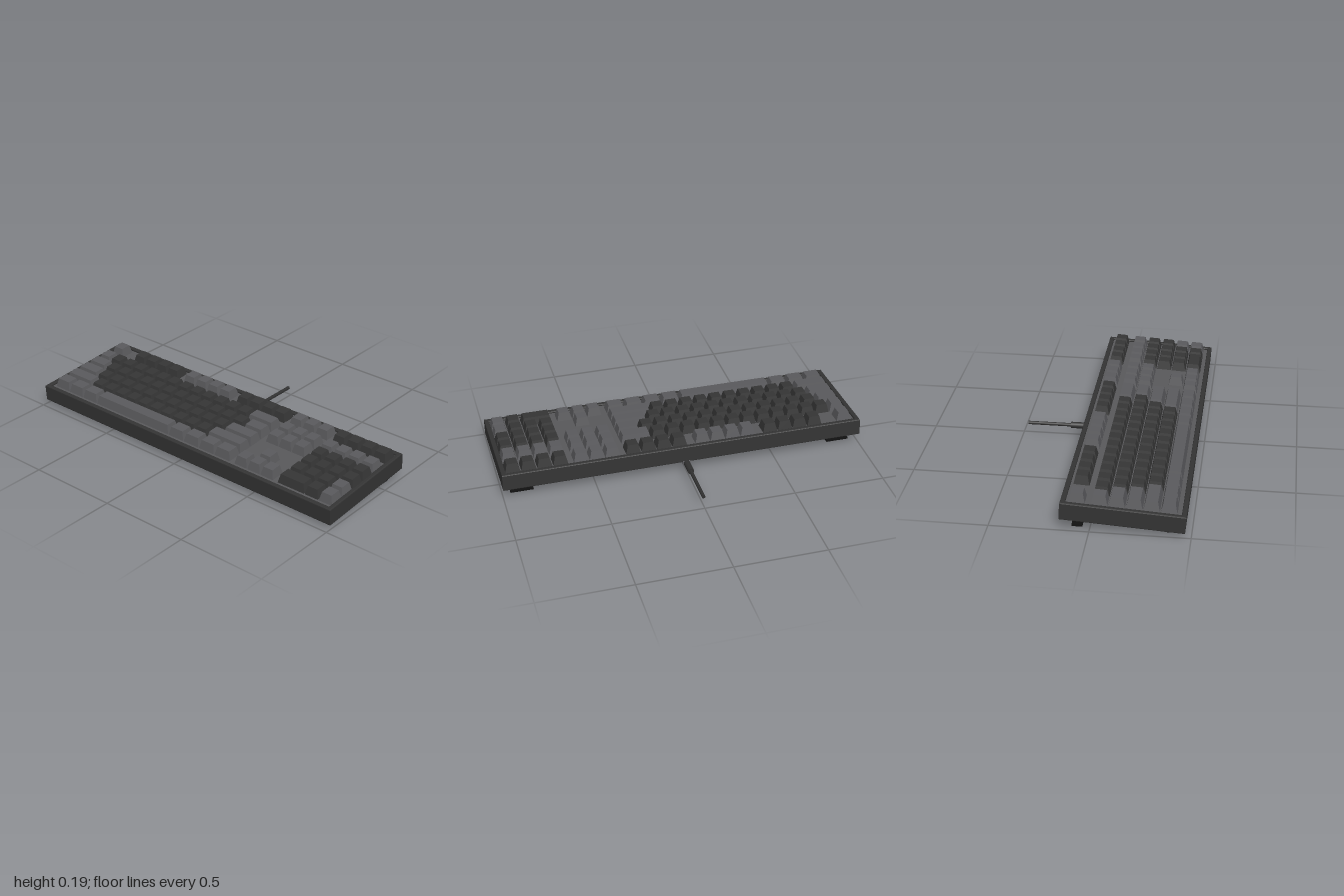
import * as THREE from 'three';

const mat = (name, color) => {
  const m = new THREE.MeshStandardMaterial({ color });
  m.name = name;
  return m;
};

const U = 0.0857;      // one key unit
const LEFT = -0.96;    // left edge of the key field
const PLATE_Y = 0.036; // plate surface, measured from the middle of the case
const ROW_Z = [-0.231, -0.12, -0.034, 0.052, 0.137, 0.223];
const NAV = 15.32, PAD = 18.62; // first columns of the navigation and number blocks

// Tapered keycap: a box whose top corners are drawn in, more so at the front
function keyGeometry(units) {
  const w = units * U - 0.005, h = 0.048, d = 0.081;
  const g = new THREE.BoxGeometry(w, h, d);
  const p = g.attributes.position;
  for (let i = 0; i < p.count; i++) {
    if (p.getY(i) < 0) continue;
    p.setX(i, p.getX(i) - Math.sign(p.getX(i)) * 0.0115);
    p.setZ(i, p.getZ(i) + (p.getZ(i) > 0 ? -0.0135 : 0.008));
  }
  g.translate(0, h / 2, 0);
  g.computeVertexNormals();
  return g;
}

function rectangle(Type, x, z) {
  const s = new Type();
  s.moveTo(-x, -z);
  s.lineTo(x, -z);
  s.lineTo(x, z);
  s.lineTo(-x, z);
  s.closePath();
  return s;
}

export function createModel() {
  const caseMat = mat('case charcoal', 0x333333);
  const plateMat = mat('plate grey', 0x58585a);
  const darkMat = mat('dark key', 0x353535);
  const lightMat = mat('light key', 0x59595c);
  const footMat = mat('rubber black', 0x111111);
  const cableMat = mat('cable grey', 0x303030);
  const plugMat = mat('plug metal', 0x66666a);

  const model = new THREE.Group();
  model.name = 'keyboard';
  const add = (parent, name, geometry, material, x = 0, y = 0, z = 0) => {
    const m = new THREE.Mesh(geometry, material);
    m.name = name;
    m.position.set(x, y, z);
    parent.add(m);
    return m;
  };

  // Tilted body holding the case, plate and keys
  const body = new THREE.Group();
  body.name = 'tiltedBody';
  body.position.set(0, 0.0875, 0.163);
  body.rotation.x = 0.0615;
  model.add(body);

  // Case wall: bevelled frame around a recessed floor
  const H = 0.094, B = 0.005;
  const outline = rectangle(THREE.Shape, 1, 0.31);
  outline.holes.push(rectangle(THREE.Path, 0.975, 0.285));
  const frame = new THREE.ExtrudeGeometry(outline, {
    depth: H - 2 * B, bevelEnabled: true, bevelThickness: B, bevelSize: B,
    bevelOffset: -B, bevelSegments: 2,
  });
  frame.translate(0, 0, -H / 2 + B);
  frame.rotateX(-Math.PI / 2);
  add(body, 'caseFrame', frame, caseMat);
  add(body, 'caseFloor', new THREE.BoxGeometry(1.98, 0.076, 0.6), caseMat, 0, -0.009, 0);
  add(body, 'keyPlate', new THREE.BoxGeometry(1.96, 0.008, 0.58), plateMat, 0, PLATE_Y - 0.004, 0);

  // Keys: each run is [block, row, start column, key widths, dark?]
  const ones = (n) => Array(n).fill(1);
  const runs = [
    ['functionKeys', 0, 0, [1], false],
    ['functionKeys', 0, 2, ones(4), true],
    ['functionKeys', 0, 6.5, ones(4), false],
    ['functionKeys', 0, 11, ones(4), true],
    ['mainKeys', 1, 0, [1], false],
    ['mainKeys', 1, 1, ones(12), true],
    ['mainKeys', 1, 13, [2], false],
    ['mainKeys', 2, 0, [1.5], false],
    ['mainKeys', 2, 1.5, ones(12), true],
    ['mainKeys', 2, 13.5, [1.5], false],
    ['mainKeys', 3, 0, [1.75], false],
    ['mainKeys', 3, 1.75, ones(11), true],
    ['mainKeys', 3, 12.75, [2.25], false],
    ['mainKeys', 4, 0, [2.25], false],
    ['mainKeys', 4, 2.25, ones(10), true],
    ['mainKeys', 4, 12.25, [2.75], false],
    ['mainKeys', 5, 0, [1.25, 1.25, 1.25, 6.25, 1.25, 1.25, 1.25, 1.25], false],
    ['navigationKeys', 0, NAV, ones(3), false],
    ['navigationKeys', 1, NAV, ones(3), false],
    ['navigationKeys', 2, NAV, ones(3), false],
    ['arrowKeys', 4, NAV + 1, [1], false],
    ['arrowKeys', 5, NAV, ones(3), false],
    ['numberPad', 0, PAD, ones(4), true],
    ['numberPad', 1, PAD, ones(4), false],
    ['numberPad', 2, PAD, ones(4), true],
    ['numberPad', 3, PAD, ones(4), true],
    ['numberPad', 4, PAD, ones(3), true],
    ['numberPad', 4, PAD + 3, [1], false],
    ['numberPad', 5, PAD, [2, 1], true],
    ['numberPad', 5, PAD + 3, [1], false],
  ];
  const blocks = {}, caps = {};
  for (const [block, row, start, widths, dark] of runs) {
    if (!blocks[block]) {
      blocks[block] = new THREE.Group();
      blocks[block].name = block;
      body.add(blocks[block]);
    }
    let column = start;
    for (const w of widths) {
      caps[w] ??= keyGeometry(w);
      add(blocks[block], dark ? 'darkKey' : 'lightKey', caps[w], dark ? darkMat : lightMat,
        LEFT + (column + w / 2) * U, PLATE_Y, ROW_Z[row]);
      column += w;
    }
  }

  // Rubber feet
  for (const x of [-0.893, 0.893])
    for (const z of [0.394, -0.065])
      add(model, 'foot', new THREE.BoxGeometry(0.125, 0.01, 0.054), footMat, x, 0.005, z);

  // Cable leaving the back: plug, strain relief and cord
  const rod = (name, radius, z0, z1) => {
    const g = new THREE.CylinderGeometry(radius, radius, z0 - z1, 20);
    g.rotateX(Math.PI / 2);
    add(model, name, g, cableMat, 0, 0.056, (z0 + z1) / 2);
  };
  add(model, 'plug', new THREE.BoxGeometry(0.04, 0.024, 0.03), plugMat, 0, 0.056, -0.14);
  rod('strainRelief', 0.0175, -0.147, -0.237);
  rod('cord', 0.0095, -0.23, -0.475);

  return model;
}
